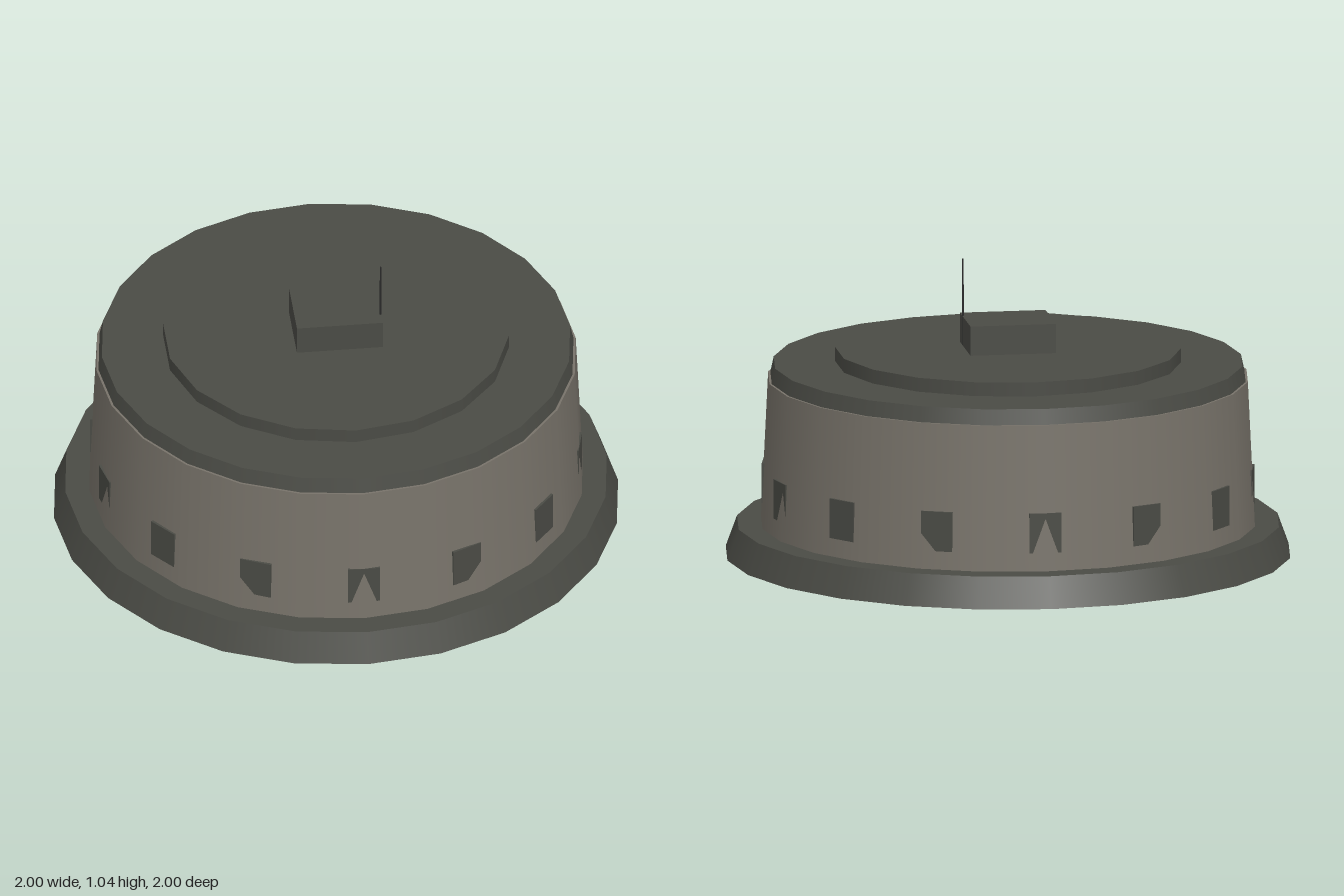
import * as THREE from 'three';

export function createModel() {
  const model = new THREE.Group();
  const material = (name, color) => {
    const m = new THREE.MeshStandardMaterial({ color });
    m.name = name;
    return m;
  };
  const darkMetal = material('darkMetal', 0x4a4b45);
  const wallGrey = material('wallGrey', 0x78736a);
  const antennaBlack = material('antennaBlack', 0x2a2a2a);

  const add = (name, geometry, mat, x, y, z, parent = model) => {
    const mesh = new THREE.Mesh(geometry, mat);
    mesh.name = name;
    mesh.position.set(x, y, z);
    parent.add(mesh);
    return mesh;
  };
  // Upright tapered drum between two heights
  const drum = (name, rBottom, rTop, y0, y1, sides, mat) =>
    add(name, new THREE.CylinderGeometry(rTop, rBottom, y1 - y0, sides), mat, 0, (y0 + y1) / 2, 0);

  // Stacked body
  drum('base', 1, 0.96, 0, 0.11, 24, darkMetal);
  drum('wall', 0.875, 0.85, 0.11, 0.63, 24, wallGrey);
  drum('roofRim', 0.842, 0.83, 0.63, 0.685, 24, darkMetal);
  drum('roofDisc', 0.61, 0.61, 0.685, 0.735, 18, darkMetal);

  // Roof hatch and antenna against its side
  add('roofHatch', new THREE.BoxGeometry(0.305, 0.105, 0.244), darkMetal, 0, 0.7875, 0);
  add('antenna', new THREE.CylinderGeometry(0.003, 0.004, 0.31, 6), antennaBlack, 0.15, 0.89, 0.07);

  // Ring of flat windows partly sunk in the sloping wall
  const windows = new THREE.Group();
  windows.name = 'windows';
  model.add(windows);
  const windowGeometry = new THREE.BoxGeometry(0.114, 0.142, 0.03);
  const count = 14;
  for (let i = 0; i < count; i++) {
    const a = (i / count) * Math.PI * 2;
    const r = 0.866 - 0.015;
    add('window', windowGeometry, darkMetal, r * Math.sin(a), 0.246, r * Math.cos(a), windows).rotation.y = a;
  }
  return model;
}
